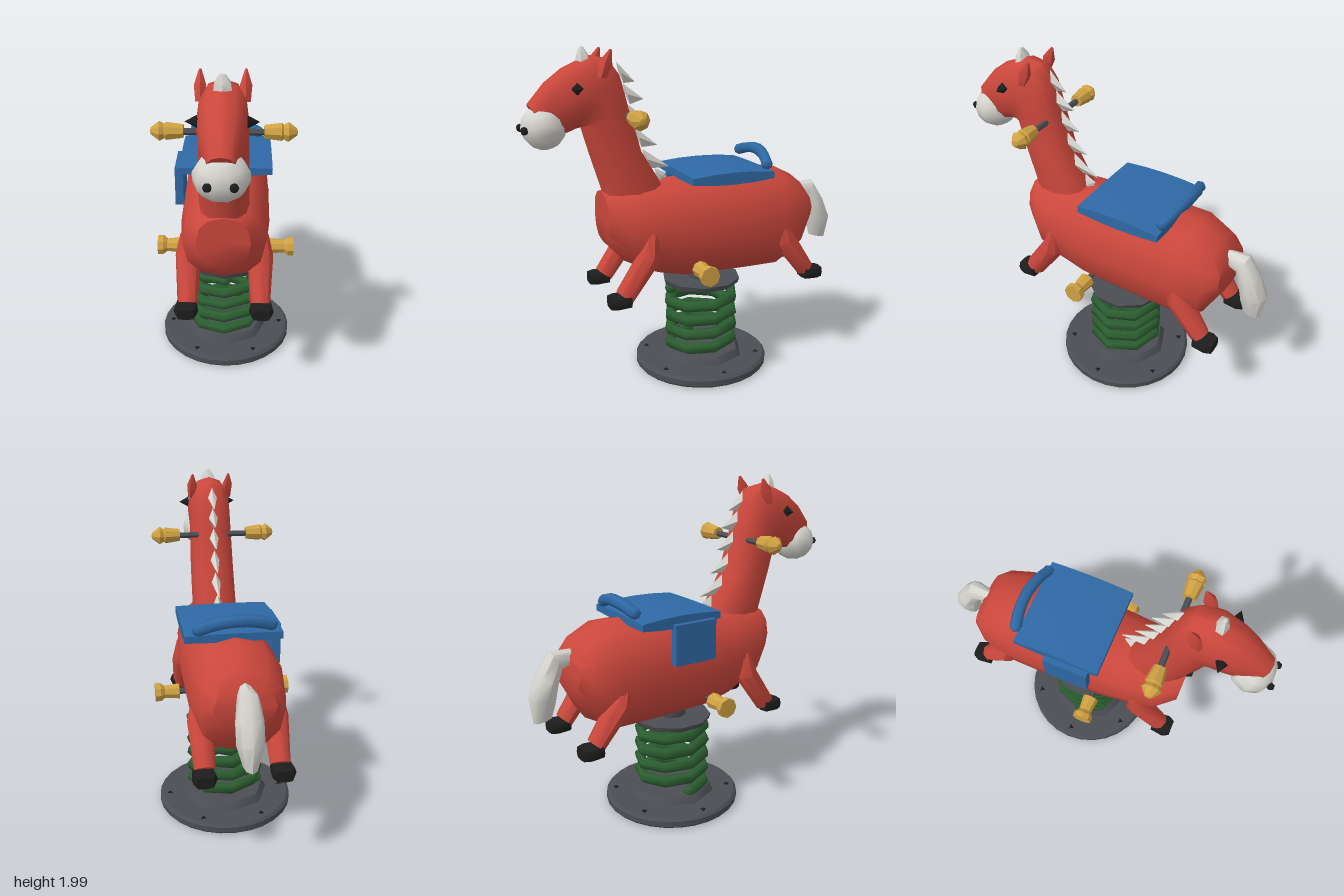
import * as THREE from 'three';
import { toCreasedNormals } from 'three/addons/utils/BufferGeometryUtils.js';

const mat = (name, color, side = THREE.FrontSide) => {
  const m = new THREE.MeshStandardMaterial({ color, side });
  m.name = name;
  return m;
};

// Loft through elliptical sections [za, ya, zb, yb, halfWidth]; a and b are
// the two ends of the section in the side profile. pow < 1 squares it off.
function loft(sections, { x = 0, sides = 10, pow = 1 } = {}) {
  const pos = [], idx = [], n = sections.length;
  const bend = (v) => Math.sign(v) * Math.abs(v) ** pow;
  for (const [za, ya, zb, yb, w] of sections) {
    for (let j = 0; j < sides; j++) {
      const t = (j / sides) * Math.PI * 2, c = bend(Math.cos(t)), s = bend(Math.sin(t));
      pos.push(x + s * w, (ya + yb) / 2 + (c * (ya - yb)) / 2, (za + zb) / 2 + (c * (za - zb)) / 2);
    }
  }
  for (const [za, ya, zb, yb] of [sections[0], sections[n - 1]]) pos.push(x, (ya + yb) / 2, (za + zb) / 2);
  const start = n * sides, end = start + 1;
  for (let j = 0; j < sides; j++) {
    const k = (j + 1) % sides, top = (n - 1) * sides;
    for (let i = 0; i < n - 1; i++) {
      const a = i * sides + j, b = i * sides + k;
      idx.push(a, b, b + sides, a, b + sides, a + sides);
    }
    idx.push(start, k, j, end, top + j, top + k);
  }
  // Turn the faces outward if the enclosed volume is negative
  const p = (i) => new THREE.Vector3().fromArray(pos, i * 3);
  const origin = p(start);
  let volume = 0;
  for (let i = 0; i < idx.length; i += 3) {
    const [a, b, c] = [0, 1, 2].map((k) => p(idx[i + k]).sub(origin));
    volume += a.dot(b.cross(c));
  }
  if (volume < 0) idx.reverse();
  const g = new THREE.BufferGeometry();
  g.setAttribute('position', new THREE.Float32BufferAttribute(pos, 3));
  g.setIndex(idx);
  return toCreasedNormals(g, 0.8);
}

export function createModel() {
  const root = new THREE.Group();
  root.name = 'springHorse';
  const red = mat('red paint', 0xcb473c);
  const white = mat('off white', 0xd6d4ce);
  const gold = mat('golden yellow', 0xd0a143);
  const blue = mat('saddle blue', 0x2f69a6);
  const green = mat('spring green', 0x2c5e31);
  const grey = mat('dark grey metal', 0x4b4e54);
  const black = mat('black', 0x1d1d1d);

  const add = (name, geo, material, x = 0, y = 0, z = 0) => {
    const m = new THREE.Mesh(geo, material);
    m.name = name;
    m.position.set(x, y, z);
    root.add(m);
    return m;
  };
  const cyl = (rt, rb, h, n) => toCreasedNormals(new THREE.CylinderGeometry(rt, rb, h, n), 0.8);

  // Barrel body, front to back
  add('body', loft([
    [0.55, 1.17, 0.55, 0.87, 0.15],
    [0.45, 1.19, 0.42, 0.73, 0.235],
    [0.26, 1.21, 0.26, 0.65, 0.252],
    [0.08, 1.22, 0.1, 0.61, 0.265],
    [-0.3, 1.24, -0.3, 0.6, 0.27],
    [-0.55, 1.24, -0.53, 0.6, 0.268],
    [-0.7, 1.165, -0.67, 0.68, 0.235],
    [-0.76, 1.08, -0.775, 0.88, 0.17],
  ], { sides: 12, pow: 0.85 }), red);

  // Neck bending into the head
  add('neckAndHead', loft([
    [0.16, 1.08, 0.53, 1.05, 0.14],
    [0.19, 1.2, 0.545, 1.17, 0.14],
    [0.31, 1.4, 0.615, 1.4, 0.137],
    [0.38, 1.65, 0.66, 1.56, 0.132],
    [0.425, 1.83, 0.675, 1.545, 0.13],
    [0.49, 1.92, 0.69, 1.54, 0.13],
    [0.6, 1.94, 0.71, 1.53, 0.13],
    [0.75, 1.875, 0.74, 1.52, 0.118],
    [0.85, 1.8, 0.78, 1.51, 0.1],
    [0.945, 1.69, 0.84, 1.51, 0.075],
  ], { sides: 12, pow: 0.85 }), red);

  const muzzle = add('muzzle', new THREE.SphereGeometry(1, 10, 7), white, 0, 1.56, 0.862);
  muzzle.scale.set(0.142, 0.124, 0.125);
  muzzle.rotation.x = 0.3;

  // Forelock and mane tufts
  add('forelock', loft([
    [0.58, 1.9, 0.67, 1.88, 0.055],
    [0.6, 1.945, 0.665, 1.94, 0.045],
    [0.625, 1.985, 0.645, 1.985, 0.015],
  ], { sides: 6 }), white);
  const tufts = [ // base z, base y, tip z, tip y
    [0.43, 1.9, 0.335, 1.79], [0.395, 1.78, 0.285, 1.69], [0.365, 1.66, 0.255, 1.56],
    [0.33, 1.53, 0.205, 1.42], [0.285, 1.4, 0.13, 1.285], [0.21, 1.28, 0.15, 1.245],
  ];
  for (const [z, y, tz, ty] of tufts) {
    add('maneTuft', loft([
      [z + 0.01, y, z - 0.03, y - 0.12, 0.028],
      [tz + 0.002, ty, tz, ty - 0.004, 0.002],
    ], { sides: 4 }), white);
  }

  add('tail', loft([
    [-0.74, 1.11, -0.72, 1.02, 0.035],
    [-0.865, 1.115, -0.8, 1.0, 0.06],
    [-0.94, 1.0, -0.825, 0.92, 0.075],
    [-1.0, 0.87, -0.84, 0.83, 0.075],
    [-0.98, 0.715, -0.865, 0.74, 0.04],
  ], { sides: 8 }), white);

  // Profiles along x for the hand grips and foot pegs: [radius, distance]
  const lathe = (pts) => toCreasedNormals(
    new THREE.LatheGeometry(pts.map(([r, d]) => new THREE.Vector2(r, d)), 8), 0.6);
  const grip = [[0, 0.21], [0.038, 0.21], [0.05, 0.3], [0.04, 0.31], [0.055, 0.335], [0.02, 0.38], [0, 0.385]];
  const peg = [[0, 0.27], [0.05, 0.27], [0.04, 0.36], [0.06, 0.385], [0.06, 0.418], [0, 0.418]];

  for (const s of [1, -1]) {
    // Legs and hooves
    add('frontLeg', loft([
      [0.35, 0.96, 0.28, 0.94, 0.045],
      [0.4, 0.84, 0.265, 0.79, 0.075],
      [0.54, 0.63, 0.44, 0.55, 0.058],
    ], { x: s * 0.208, sides: 8 }), red);
    add('rearLeg', loft([
      [-0.49, 0.96, -0.54, 0.92, 0.045],
      [-0.49, 0.77, -0.61, 0.85, 0.075],
      [-0.665, 0.56, -0.75, 0.635, 0.058],
    ], { x: s * 0.208, sides: 8 }), red);
    for (const [name, z, d] of [['frontHoof', 0.525, 1], ['rearHoof', -0.745, -1]]) {
      add(name, loft([
        [z + d * 0.06, 0.605, z + d * 0.06, 0.535, 0.05],
        [z + d * 0.02, 0.607, z + d * 0.02, 0.535, 0.07],
        [z - d * 0.06, 0.607, z - d * 0.06, 0.535, 0.06],
      ], { x: s * 0.215, sides: 8, pow: 0.5 }), black);
    }

    // Ears, eyes and nostrils
    add('ear', loft([
      [0.585, 1.83, 0.53, 1.82, 0.025],
      [0.57, 1.91, 0.495, 1.89, 0.032],
      [0.51, 1.975, 0.495, 1.97, 0.006],
    ], { x: s * 0.112, sides: 5 }), red);
    const eye = add('eye', new THREE.ConeGeometry(0.034, 0.06, 4), black, s * 0.15, 1.77, 0.695);
    eye.rotation.z = -s * Math.PI / 2;
    add('nostril', new THREE.SphereGeometry(0.023, 6, 4), black, s * 0.062, 1.555, 0.977);

    // Grips and pegs point outward along x
    add('handGrip', lathe(grip), gold, 0, 1.615, 0.42).rotation.z = -s * Math.PI / 2;
    add('footPeg', lathe(peg), gold, 0, 0.715, 0.045).rotation.z = -s * Math.PI / 2;
  }
  add('handleBar', cyl(0.018, 0.018, 0.46, 6), grey, 0, 1.612, 0.42).rotation.z = Math.PI / 2;
  add('pegBar', cyl(0.02, 0.02, 0.6, 6), grey, 0, 0.715, 0.045).rotation.z = Math.PI / 2;

  // Saddle pad: a box thinned toward its front, back and side edges
  const pad = new THREE.BoxGeometry(0.545, 0.09, 0.52, 4, 1, 4);
  const pp = pad.attributes.position;
  for (let i = 0; i < pp.count; i++) {
    const ez = Math.abs(pp.getZ(i)) / 0.26, ex = Math.abs(pp.getX(i)) / 0.2725;
    pp.setY(i, pp.getY(i) * (1 - 0.45 * ez * ez) * (1 - 0.2 * ex * ex));
  }
  pad.computeVertexNormals();
  add('saddle', pad, blue, 0.003, 1.238, -0.17);
  add('saddleFlap', new THREE.BoxGeometry(0.05, 0.24, 0.27), blue, -0.278, 1.11, -0.1);

  // Arched backrest behind the saddle
  const arch = new THREE.QuadraticBezierCurve3(
    new THREE.Vector3(-0.2, 1.31, -0.44), new THREE.Vector3(0, 1.39, -0.49), new THREE.Vector3(0.2, 1.29, -0.42));
  add('backrest', new THREE.TubeGeometry(arch, 6, 0.035, 6), blue);
  for (const t of [0, 1]) {
    const p = arch.getPoint(t);
    add('backrestEnd', new THREE.SphereGeometry(0.035, 6, 4), blue, p.x, p.y, p.z);
  }

  // Coil spring
  const cz = -0.08, turns = 4.25, coil = [];
  for (let i = 0; i <= turns * 8; i++) {
    const t = (i / 8) * Math.PI * 2 - Math.PI / 2;
    coil.push(new THREE.Vector3(Math.sin(t) * 0.205, 0.115 + (i / (turns * 8)) * 0.395, cz + Math.cos(t) * 0.205));
  }
  const spring = new THREE.CurvePath();
  for (let i = 1; i < coil.length; i++) spring.add(new THREE.LineCurve3(coil[i - 1], coil[i]));
  add('spring', new THREE.TubeGeometry(spring, coil.length - 1, 0.036, 6), green);
  for (const p of [coil[0], coil[coil.length - 1]]) {
    add('springEnd', new THREE.SphereGeometry(0.036, 6, 4), green, p.x, p.y, p.z);
  }

  // Ground plate, spring plates, post and bolts
  const plate = [[0, 0], [0.405, 0], [0.415, 0.012], [0.415, 0.045], [0.4, 0.06], [0, 0.06]];
  add('groundPlate', toCreasedNormals(
    new THREE.LatheGeometry(plate.map(([r, y]) => new THREE.Vector2(r, y)), 28), 0.5), grey, 0, 0, cz);
  add('lowerSpringPlate', cyl(0.24, 0.27, 0.045, 8), grey, 0, 0.08, cz);
  add('upperSpringPlate', cyl(0.245, 0.235, 0.03, 10), grey, 0, 0.553, cz);
  add('post', cyl(0.09, 0.09, 0.12, 8), grey, 0, 0.61, cz);
  for (let i = 0; i < 6; i++) {
    const a = (i / 6) * Math.PI * 2;
    add('bolt', new THREE.ConeGeometry(0.024, 0.016, 3), black, Math.cos(a) * 0.355, 0.066, cz + Math.sin(a) * 0.355);
  }
  return root;
}
